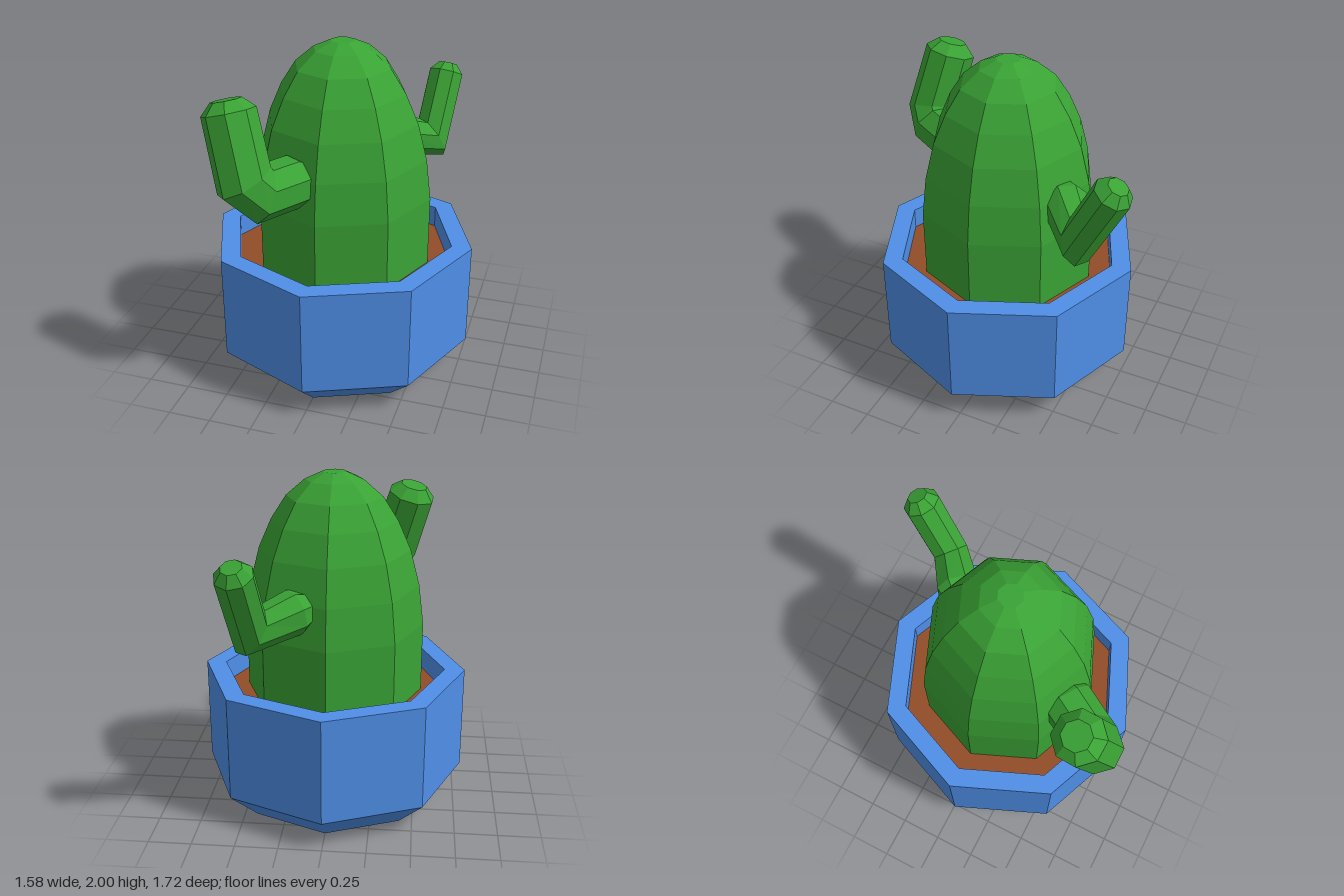
import * as THREE from 'three';

const SIDES = 8;
const mat = (color) => new THREE.MeshStandardMaterial({ color, flatShading: true });
const v = (x, y, z) => new THREE.Vector3(x, y, z);

function lathe(name, profile, material) {
  const points = profile.map(([r, y]) => new THREE.Vector2(r, y));
  const mesh = new THREE.Mesh(new THREE.LatheGeometry(points, SIDES), material);
  mesh.name = name;
  return mesh;
}

// Low-poly limb: a ring is swept along the path and cut by the mitre plane at each bend.
function limb(name, path, radii, material) {
  const n = path.length;
  const dirs = path.slice(1).map((p, i) => p.clone().sub(path[i]).normalize());
  const d0 = dirs[0];
  const side = v(0, 1, 0).cross(d0).normalize();
  const up = d0.clone().cross(side);
  const rings = [];
  let ring = [];
  for (let k = 0; k < SIDES; k++) {
    const a = ((k + 0.5) / SIDES) * Math.PI * 2;
    ring.push(side.clone().multiplyScalar(Math.cos(a)).addScaledVector(up, Math.sin(a)).multiplyScalar(radii[0]));
  }
  rings.push(ring);
  for (let i = 1; i < n; i++) {
    const d = dirs[i - 1];
    const normal = d.clone().add(dirs[Math.min(i, n - 2)]).normalize();
    ring = ring.map((p) => p.clone()
      .addScaledVector(d, -p.dot(normal) / d.dot(normal))
      .multiplyScalar(radii[i] / radii[i - 1]));
    rings.push(ring);
  }

  const pos = [], index = [];
  rings.forEach((r, i) => r.forEach((p) => pos.push(...p.clone().add(path[i]).toArray())));
  pos.push(...path[0].toArray(), ...path[n - 1].toArray());
  const first = n * SIDES, last = first + 1;
  for (let k = 0; k < SIDES; k++) {
    const m = (k + 1) % SIDES;
    for (let i = 0; i < n - 1; i++) {
      const a = i * SIDES + k, b = i * SIDES + m, c = a + SIDES, d = b + SIDES;
      index.push(a, b, d, a, d, c);
    }
    index.push(first, m, k, last, (n - 1) * SIDES + k, (n - 1) * SIDES + m);
  }
  const geo = new THREE.BufferGeometry();
  geo.setAttribute('position', new THREE.Float32BufferAttribute(pos, 3));
  geo.setIndex(index);
  geo.computeVertexNormals();
  const mesh = new THREE.Mesh(geo, material);
  mesh.name = name;
  return mesh;
}

export function createModel() {
  const group = new THREE.Group();
  group.name = 'pottedCactus';
  const green = mat(0x3aa335);

  // Pot, soil and body share one slightly offset axis
  const planter = new THREE.Group();
  planter.name = 'planter';
  planter.position.z = 0.03;
  planter.add(
    lathe('pot', [[0, 0], [0.6, 0], [0.79, 0.18], [0.79, 0.81], [0.67, 0.81], [0.67, 0.66]], mat(0x4f8fe8)),
    lathe('soil', [[0.67, 0.68], [0, 0.68]], mat(0x924c28)),
    lathe('cactusBody', [
      [0.53, 0.66], [0.53, 1.1], [0.5, 1.34], [0.445, 1.55], [0.37, 1.72],
      [0.28, 1.86], [0.17, 1.955], [0.07, 2], [0, 2],
    ], green),
  );
  group.add(planter);

  // Thick arm at the front, bent upwards with a bevelled elbow
  group.add(limb('frontArm', [
    v(-0.11, 1.31, 0.4), v(-0.15, 1.31, 0.46), v(-0.27, 1.31, 0.655),
    v(-0.335, 1.4, 0.71), v(-0.435, 1.75, 0.635), v(-0.45, 1.81, 0.625),
  ], [0.11, 0.15, 0.15, 0.155, 0.15, 0.085], green));

  // Thin arm at the back, bent upwards with a sharp elbow
  group.add(limb('backArm', [
    v(0.13, 1.31, -0.36), v(0.18, 1.3, -0.4), v(0.4, 1.24, -0.575),
    v(0.44, 1.61, -0.76), v(0.445, 1.66, -0.785),
  ], [0.1, 0.13, 0.11, 0.11, 0.06], green));

  return group;
}
